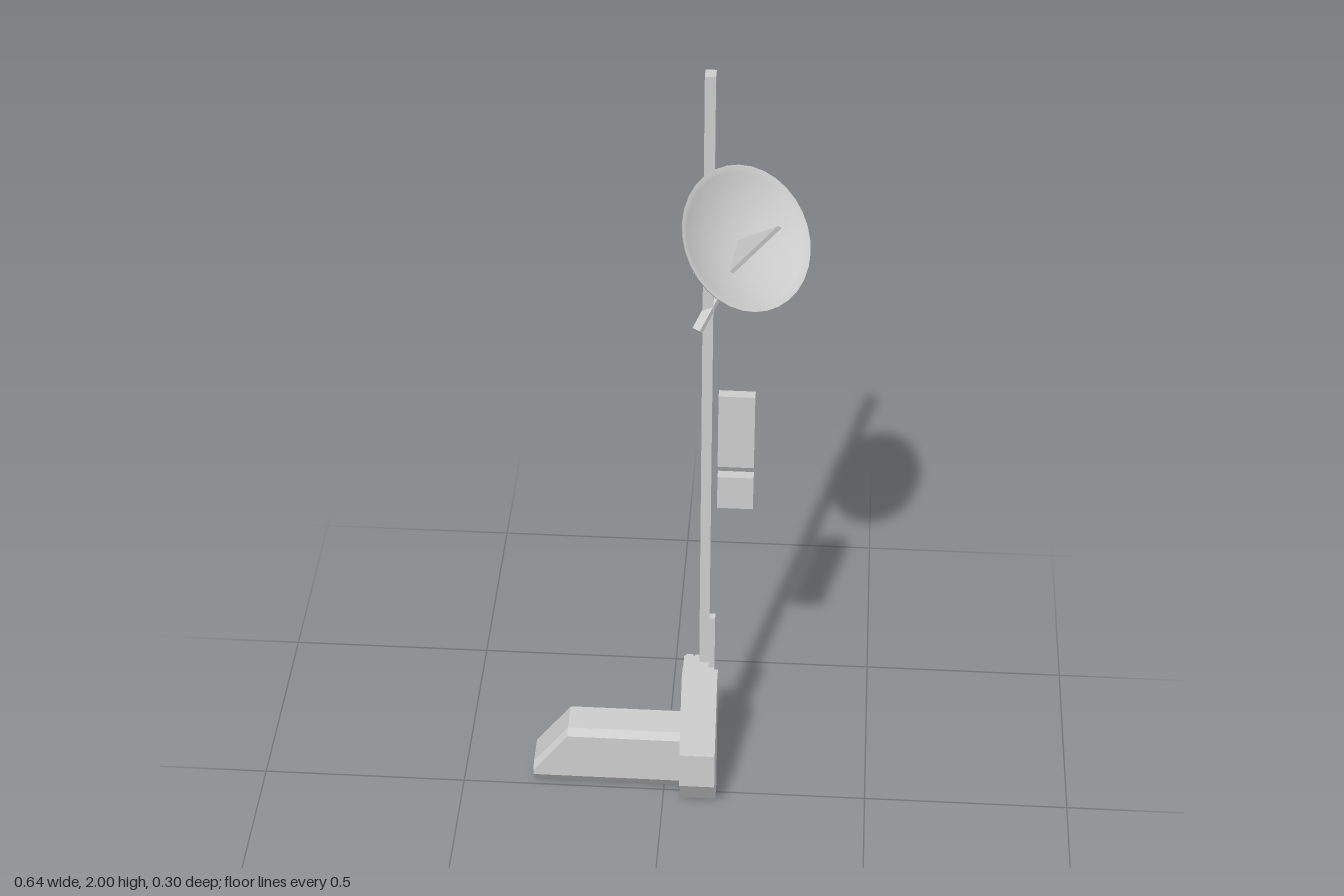
import * as THREE from 'three';

const mat = new THREE.MeshStandardMaterial({ color: 0xcccccc, flatShading: true });
const smoothMat = new THREE.MeshStandardMaterial({ color: 0xcccccc, side: THREE.DoubleSide });

function add(parent, name, geometry, material = mat) {
  const mesh = new THREE.Mesh(geometry, material);
  mesh.name = name;
  parent.add(mesh);
  return mesh;
}

// Box given by its minimum and maximum corners
function boxBetween(x0, x1, y0, y1, z0, z1) {
  return new THREE.BoxGeometry(x1 - x0, y1 - y0, z1 - z0)
    .translate((x0 + x1) / 2, (y0 + y1) / 2, (z0 + z1) / 2);
}

const shapeOf = (points) => new THREE.Shape(points.map(([a, b]) => new THREE.Vector2(a, b)));

// Extrude a (z, y) profile along x, from x0 to x1
function extrudeAlongX(points, x0, x1, steps = 1) {
  return new THREE.ExtrudeGeometry(shapeOf(points), { depth: x1 - x0, steps, bevelEnabled: false })
    .rotateY(-Math.PI / 2)
    .translate(x1, 0, 0);
}

// Low cabinet with chamfered front and a sloping outer end
function footGeometry() {
  const x0 = -0.322, x1 = 0.05;
  const geo = extrudeAlongX(
    [[-0.07, 0], [-0.02, 0], [0.025, 0.055], [0.025, 0.185], [0.008, 0.2], [-0.07, 0.2]], x0, x1, 2);
  const p = geo.attributes.position;
  for (let i = 0; i < p.count; i++) {
    const x = p.getX(i);
    if (x < x0 + 0.01) {
      if (p.getY(i) > 0.1) p.setY(i, p.getY(i) - 0.117);
    } else if (x < x1 - 0.01) {
      p.setX(i, -0.235);
    }
  }
  geo.computeVertexNormals();
  return geo;
}

// Upright ribs behind the tall cabinet, extruded upward from an (x, -z) outline
function ribGeometry() {
  const outline = [
    [0.045, 0.028], [0.12, 0.028], [0.12, 0.055], [0.085, 0.055], [0.085, 0.078], [0.08, 0.083],
    [0.074, 0.083], [0.069, 0.077], [0.064, 0.084], [0.053, 0.084], [0.045, 0.075],
  ];
  return new THREE.ExtrudeGeometry(shapeOf(outline), { depth: 0.375, bevelEnabled: false })
    .rotateX(-Math.PI / 2);
}

// Thin shallow bowl, opening upward, rim at y = 0
function dishGeometry(radius, depth, thickness) {
  const inner = [], outer = [];
  const n = 10;
  for (let i = 0; i <= n; i++) {
    const t = i / n;
    const y = depth * (t * t - 1);
    outer.push(new THREE.Vector2(radius * t, y - thickness));
    inner.unshift(new THREE.Vector2(radius * t, y));
  }
  return new THREE.LatheGeometry([...outer, ...inner], 32);
}

export function createModel() {
  const model = new THREE.Group();
  model.name = 'antennaMast';

  // Mast and cable duct
  add(model, 'mast', boxBetween(0.083, 0.107, 0, 2, -0.086, -0.055));
  add(model, 'cableDuct', boxBetween(0.107, 0.121, 0, 0.53, -0.055, -0.037));

  // Base cabinets
  add(model, 'lowCabinet', footGeometry());
  add(model, 'tallCabinet', extrudeAlongX(
    [[-0.03, 0], [0.025, 0], [0.092, 0.1], [0.092, 0.2], [0.01, 0.375], [-0.03, 0.375]], 0.044, 0.13));
  add(model, 'cabinetRibs', ribGeometry());

  // Side panels beside the mast
  add(model, 'upperPanel', boxBetween(0.121, 0.205, 0.97, 1.17, -0.082, -0.057));
  add(model, 'lowerPanel', boxBetween(0.121, 0.205, 0.85, 0.94, -0.082, -0.057));

  // Two slanted crossbars
  for (const [name, lift] of [['lowerCrossbar', 0], ['upperCrossbar', 0.147]]) {
    const start = new THREE.Vector3(0.073, 1.371 + lift, -0.025);
    const end = new THREE.Vector3(0.154, 1.49 + lift, -0.143);
    const bar = add(model, name, new THREE.BoxGeometry(0.021, 0.013, start.distanceTo(end)));
    bar.position.copy(start).lerp(end, 0.5);
    bar.lookAt(end);
  }

  // Dish, tilted upward and to the left
  const axis = new THREE.Vector3(0.54, 0.64, 0.54).normalize();
  const dish = add(model, 'dish', dishGeometry(0.163, 0.048, 0.005), smoothMat);
  dish.position.set(0.182, 1.646, 0.015);
  dish.quaternion.setFromUnitVectors(new THREE.Vector3(0, 1, 0), axis);

  // Triangular feed fin standing in the dish
  const a = new THREE.Vector3(0.165, 1.625, -0.003);
  const b = new THREE.Vector3(0.151, 1.59, 0.067);
  const tip = new THREE.Vector3(0.253, 1.725, 0.09);
  const u = b.clone().sub(a).normalize();
  const w = new THREE.Vector3().crossVectors(u, tip.clone().sub(a)).normalize();
  const v = new THREE.Vector3().crossVectors(w, u);
  const flat = [a, b, tip].map((q) => {
    const d = q.clone().sub(a);
    return [d.dot(u), d.dot(v)];
  });
  const fin = new THREE.ExtrudeGeometry(shapeOf(flat), { depth: 0.01, bevelEnabled: false })
    .translate(0, 0, -0.005)
    .applyMatrix4(new THREE.Matrix4().makeBasis(u, v, w).setPosition(a));
  add(model, 'feedFin', fin);

  return model;
}
